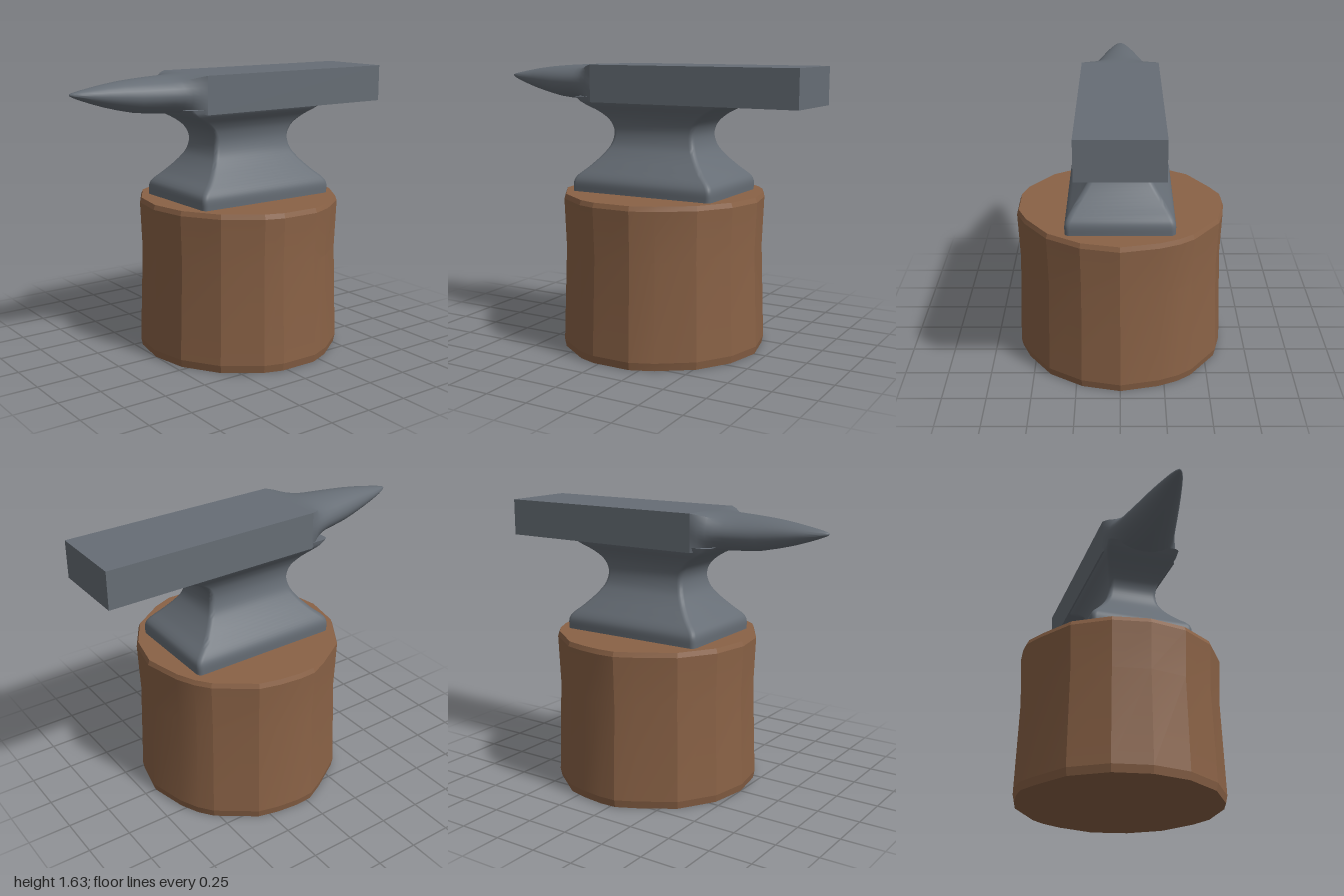
import * as THREE from 'three';
import { toCreasedNormals } from 'three/addons/utils/BufferGeometryUtils.js';

const steel = new THREE.MeshStandardMaterial({ color: 0x666d75 });
steel.name = 'steel';
const wood = new THREE.MeshStandardMaterial({ color: 0x8a6246 });
wood.name = 'wood';

// Skin a list of closed rings of equal length; cap both ends on request.
function loft(rings, crease, capped) {
  const n = rings[0].length;
  const verts = rings.flat();
  const index = [];
  for (let r = 0; r < rings.length - 1; r++) {
    for (let i = 0; i < n; i++) {
      const j = (i + 1) % n;
      const a = r * n + i, b = r * n + j, c = a + n, d = b + n;
      index.push(a, c, b, b, c, d);
    }
  }
  if (capped) {
    const last = (rings.length - 1) * n;
    for (const [start, top] of [[0, false], [last, true]]) {
      const ring = verts.slice(start, start + n);
      const centre = ring.reduce((s, p) => s.add(p), new THREE.Vector3()).divideScalar(n);
      const k = verts.push(centre) - 1;
      for (let i = 0; i < n; i++) {
        const a = start + i, b = start + (i + 1) % n;
        index.push(k, top ? b : a, top ? a : b);
      }
    }
  }
  const g = new THREE.BufferGeometry().setFromPoints(verts);
  g.setIndex(index);
  return toCreasedNormals(g, crease);
}

// Horizontal rounded rectangle with half sizes hx, hz.
function roundedRect(cx, y, hx, hz, radius) {
  const pts = [];
  for (let q = 0; q < 4; q++) {
    const sx = q === 0 || q === 3 ? 1 : -1;
    const sz = q < 2 ? 1 : -1;
    for (let s = 0; s <= 4; s++) {
      const a = (q + s / 4) * Math.PI / 2;
      pts.push(new THREE.Vector3(
        cx + sx * (hx - radius) + radius * Math.cos(a), y,
        sz * (hz - radius) + radius * Math.sin(a)));
    }
  }
  return pts;
}

// Irregular faceted log with slightly chamfered ends
function stumpGeometry() {
  const cx = 0.09;
  const outline = [
    [0.69, 0], [0.64, 0.22], [0.52, 0.41], [0.33, 0.545], [0.2, 0.6], [-0.03, 0.6],
    [-0.14, 0.565], [-0.34, 0.425], [-0.47, 0.22], [-0.51, 0], [-0.47, -0.22],
    [-0.34, -0.425], [-0.14, -0.55], [-0.03, -0.605], [0.07, -0.61], [0.2, -0.595],
    [0.32, -0.565], [0.53, -0.41], [0.59, -0.33], [0.64, -0.22]];
  const levels = [[0, 0.985], [0.045, 1], [0.6, 0.967], [0.88, 0.985], [0.907, 0.968]];
  return loft(levels.map(([y, s]) => outline.map(([x, z]) =>
    new THREE.Vector3(cx + (x - cx) * s, y, z * s))), 0.22, true);
}

// Foot, narrow waist and flared neck: [y, half width, half depth]
function bodyGeometry() {
  const profile = [
    [0.905, 0.447, 0.302], [0.96, 0.447, 0.302], [0.99, 0.435, 0.292], [1.05, 0.37, 0.25],
    [1.12, 0.308, 0.198], [1.18, 0.273, 0.163], [1.25, 0.262, 0.148], [1.31, 0.285, 0.154],
    [1.36, 0.34, 0.175], [1.42, 0.45, 0.214], [1.45, 0.485, 0.22]];
  const curve = new THREE.CatmullRomCurve3(
    profile.map(([y, hx, hz]) => new THREE.Vector3(hx, y, hz)));
  const rings = curve.getPoints(40).map(p => roundedRect(0.088, p.y, p.x, p.z, 0.028));
  return loft(rings, 0.7, true);
}

// Tapering horn, blending from a rectangle into an oval:
// [x, top y, bottom y, half depth, squareness]
function hornGeometry() {
  const stations = [
    [-0.28, 1.635, 1.42, 0.225, 1], [-0.32, 1.635, 1.42, 0.22, 0.72],
    [-0.36, 1.634, 1.42, 0.203, 0.36], [-0.4, 1.632, 1.421, 0.188, 0.12],
    [-0.45, 1.63, 1.423, 0.171, 0], [-0.53, 1.626, 1.427, 0.15, 0],
    [-0.62, 1.62, 1.436, 0.127, 0], [-0.71, 1.612, 1.455, 0.104, 0],
    [-0.8, 1.6, 1.478, 0.08, 0], [-0.88, 1.586, 1.503, 0.057, 0],
    [-0.94, 1.575, 1.524, 0.038, 0], [-0.98, 1.566, 1.54, 0.02, 0],
    [-0.995, 1.561, 1.548, 0.009, 0], [-1, 1.556, 1.554, 0.001, 0]];
  const sides = 32;
  const rings = stations.map(([x, top, bottom, hz, square]) => {
    const ring = [];
    for (let i = 0; i < sides; i++) {
      const a = i / sides * Math.PI * 2;
      const c = Math.cos(a), s = Math.sin(a);
      const k = 1 + square * (1 / Math.max(Math.abs(c), Math.abs(s)) - 1);
      ring.push(new THREE.Vector3(
        x, (top + bottom) / 2 + c * k * (top - bottom) / 2, s * k * hz));
    }
    return ring;
  });
  return loft(rings, 0.75, false);
}

export function createModel() {
  const model = new THREE.Group();
  model.name = 'anvilOnStump';
  const add = (name, geometry, material, parent) => {
    const mesh = new THREE.Mesh(geometry, material);
    mesh.name = name;
    parent.add(mesh);
    return mesh;
  };

  add('stump', stumpGeometry(), wood, model);

  const anvil = new THREE.Group();
  anvil.name = 'anvil';
  model.add(anvil);
  add('body', bodyGeometry(), steel, anvil);
  add('horn', hornGeometry(), steel, anvil);

  // Flat working face and heel
  const face = add('face', new THREE.BoxGeometry(1.28, 0.215, 0.45), steel, anvil);
  face.position.set(0.36, 1.5275, 0);

  return model;
}
